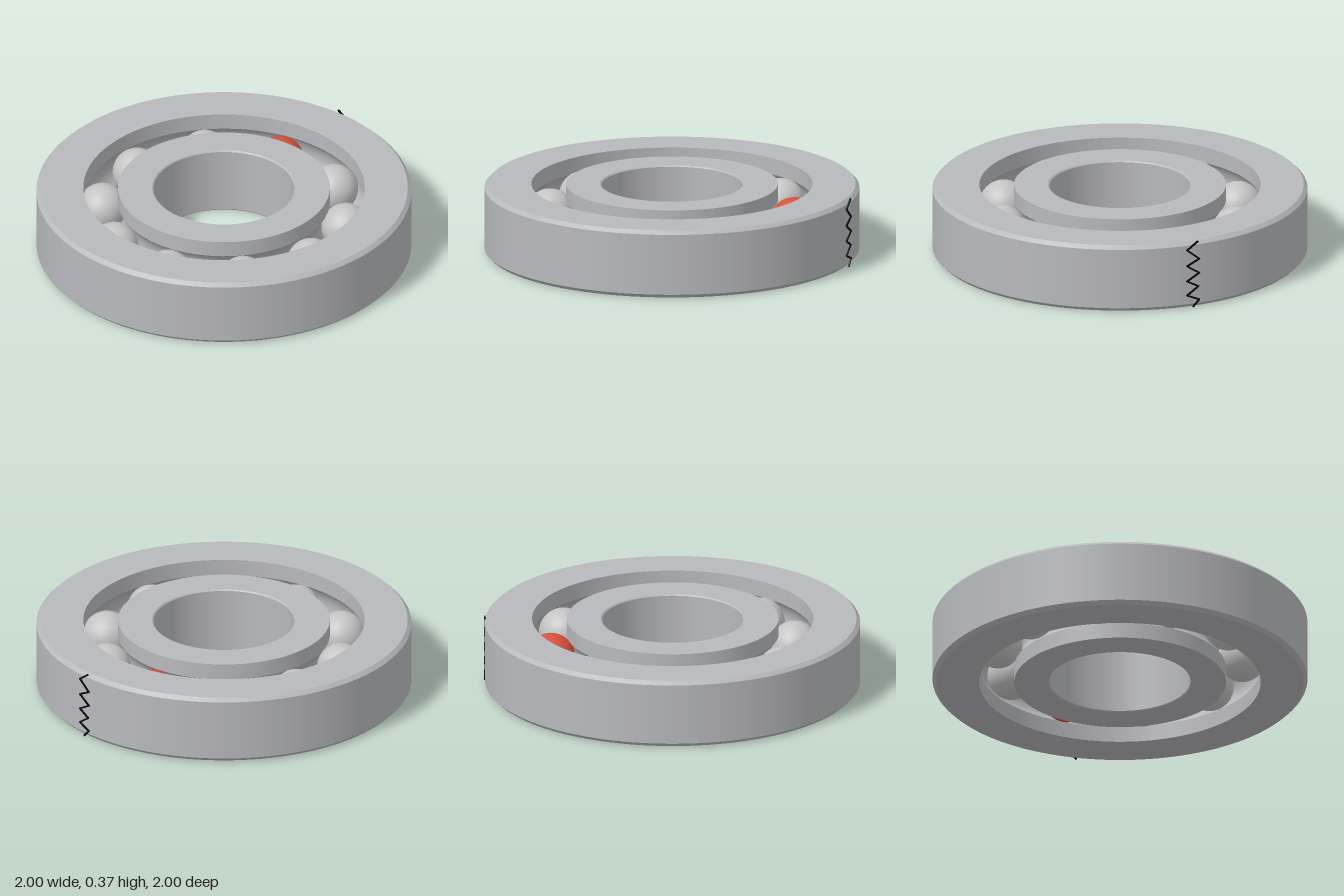
import * as THREE from 'three';
import { mergeGeometries } from 'three/addons/utils/BufferGeometryUtils.js';

const HEIGHT = 0.37, MID = HEIGHT / 2;
const PITCH = 0.657, BALL_R = 0.13, GROOVE_R = 0.134;
const OUTER_IN = 0.75, INNER_OUT = 0.565;

function material(name, color) {
  const m = new THREE.MeshStandardMaterial({ color });
  m.name = name;
  return m;
}

// Revolve each smooth run of [radius, y] points; edges between runs stay sharp
function revolve(runs) {
  return mergeGeometries(runs.map(run =>
    new THREE.LatheGeometry(run.map(p => new THREE.Vector2(p[0], p[1])), 128)));
}

// Straight runs joining consecutive points
function straight(points) {
  return points.slice(1).map((p, i) => [points[i], p]);
}

// Ball groove cut into the wall at the given radius; side 1 = outer ring (runs down), -1 = inner ring (runs up)
function groove(wall, side) {
  const half = Math.acos(Math.abs(wall - PITCH) / GROOVE_R);
  const run = [];
  for (let i = 0; i <= 16; i++) {
    const a = half * (1 - i / 8);
    run.push([PITCH + side * GROOVE_R * Math.cos(a), MID + side * GROOVE_R * Math.sin(a)]);
  }
  return run;
}

export function createModel() {
  const model = new THREE.Group();
  model.name = 'ballBearing';
  const steel = material('ring steel', 0xb8b9bd);
  const polished = material('ball steel', 0xc4c4c5);
  const red = material('red ball', 0xd9503a);
  const black = material('crack black', 0x080808);

  const add = (name, geometry, mat) => {
    const mesh = new THREE.Mesh(geometry, mat);
    mesh.name = name;
    model.add(mesh);
    return mesh;
  };

  // Outer ring: chamfered rim and a groove on the inside
  const c = 0.02;
  const og = groove(OUTER_IN, 1);
  add('outerRing', revolve([
    ...straight([[1 - c, 0], [1, c], [1, HEIGHT - c], [1 - c, HEIGHT], [OUTER_IN, HEIGHT], og[0]]),
    og,
    ...straight([og[16], [OUTER_IN, 0], [1 - c, 0]]),
  ]), steel);

  // Inner ring: groove on the outside and a finely chamfered bore
  const bore = 0.375, b = 0.007;
  const ig = groove(INNER_OUT, -1);
  add('innerRing', revolve([
    ...straight([[bore + b, 0], [INNER_OUT, 0], ig[0]]),
    ig,
    ...straight([ig[16], [INNER_OUT, HEIGHT], [bore + b, HEIGHT], [bore, HEIGHT - b], [bore, b], [bore + b, 0]]),
  ]), steel);

  // Ten balls, one of them red
  const ballGeometry = new THREE.SphereGeometry(BALL_R, 40, 28);
  for (let i = 0; i < 10; i++) {
    const a = i * Math.PI / 5;
    const ball = add(i === 2 ? 'redBall' : 'ball', ballGeometry, i === 2 ? red : polished);
    ball.position.set(PITCH * Math.cos(a), MID, -PITCH * Math.sin(a));
  }

  // Zigzag crack on the outer rim: [angle in degrees, height]
  const crackPath = [[61.5, 0.368], [58, 0.325], [62, 0.27], [58, 0.235], [62, 0.19],
    [58, 0.15], [61.7, 0.115], [58, 0.07], [62, 0.04], [60, 0.004]]
    .map(([deg, y]) => {
      const a = THREE.MathUtils.degToRad(deg);
      return new THREE.Vector3(1.003 * Math.cos(a), y, -1.003 * Math.sin(a));
    });
  const pieces = crackPath.slice(1).map((p, i) => {
    const from = crackPath[i];
    const along = p.clone().sub(from);
    const middle = p.clone().add(from).multiplyScalar(0.5);
    const dir = along.clone().normalize();
    const outward = new THREE.Vector3(middle.x, 0, middle.z);
    outward.addScaledVector(dir, -outward.dot(dir)).normalize();
    const across = new THREE.Vector3().crossVectors(dir, outward);
    const frame = new THREE.Matrix4().makeBasis(across, dir, outward).setPosition(middle);
    return new THREE.BoxGeometry(0.009, along.length() + 0.006, 0.008).applyMatrix4(frame);
  });
  add('crack', mergeGeometries(pieces), black);

  return model;
}
